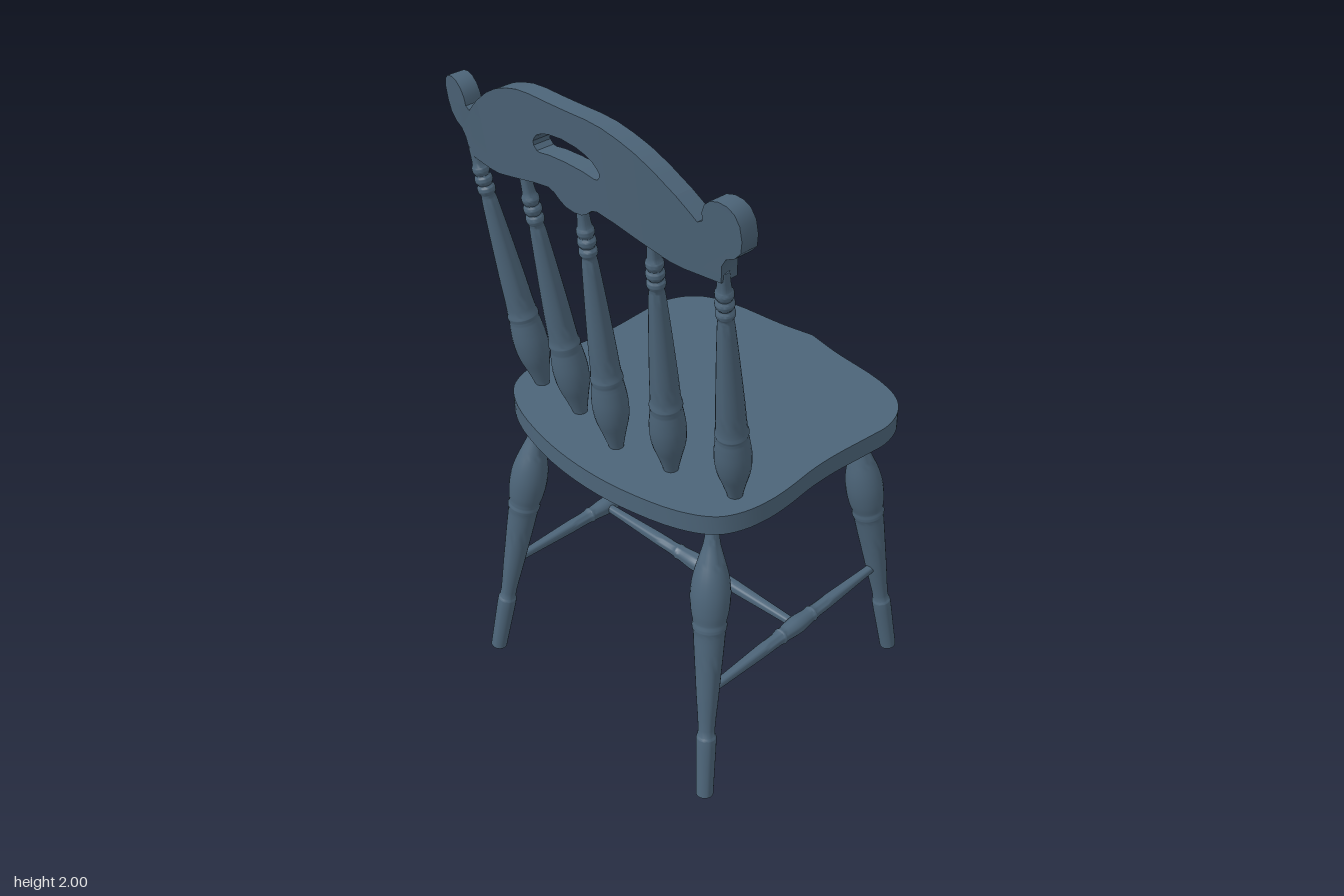
import * as THREE from 'three';
import { toCreasedNormals } from 'three/addons/utils/BufferGeometryUtils.js';

const V = (x, y, z) => new THREE.Vector3(x, y, z);
const paint = new THREE.MeshStandardMaterial({ color: 0x4c6478 });
paint.name = 'slate blue paint';

function part(name, geometry, parent) {
  const mesh = new THREE.Mesh(toCreasedNormals(geometry, 0.6), paint);
  mesh.name = name;
  parent.add(mesh);
  return mesh;
}

// Turned piece between two points; profile holds [fraction along axis, radius]
function turned(name, profile, a, b, parent) {
  const curve = new THREE.CatmullRomCurve3(profile.map(([t, r]) => V(r, t, 0)));
  const length = a.distanceTo(b);
  const points = curve.getPoints((profile.length - 1) * 4)
    .map(p => new THREE.Vector2(Math.max(p.x, 0.002), p.y * length));
  points.unshift(new THREE.Vector2(0, 0));
  points.push(new THREE.Vector2(0, length));
  const mesh = part(name, new THREE.LatheGeometry(points, 24), parent);
  mesh.position.copy(a);
  mesh.quaternion.setFromUnitVectors(V(0, 1, 0), b.clone().sub(a).normalize());
}

// Linear interpolation through [x, y] points, mirrored about x = 0
const through = points => x => {
  const ax = Math.abs(x);
  let i = 1;
  while (i < points.length - 1 && points[i][0] < ax) i++;
  const [x0, y0] = points[i - 1], [x1, y1] = points[i];
  return THREE.MathUtils.lerp(y0, y1, THREE.MathUtils.clamp((ax - x0) / (x1 - x0), 0, 1));
};

// Bows the crest rail in plan and leans it back; z is depth within the board
const railDepth = (x, y, z) => 0.37 + 0.13 * (y - 1.7) - 0.17 * x * x + z;

function bend(geometry) {
  const p = geometry.attributes.position;
  for (let i = 0; i < p.count; i++) p.setZ(i, railDepth(p.getX(i), p.getY(i), p.getZ(i)));
  geometry.computeVertexNormals();
  return geometry;
}

// Board section between two edge curves
function slab(name, x0, x1, steps, top, bottom, parent) {
  const g = new THREE.BoxGeometry(1, 1, 1, steps, 1, 1);
  const p = g.attributes.position;
  for (let i = 0; i < p.count; i++) {
    const x = THREE.MathUtils.lerp(x0, x1, p.getX(i) + 0.5);
    p.setXYZ(i, x, p.getY(i) > 0 ? top(x) : bottom(x), p.getZ(i) > 0 ? 0.052 : 0);
  }
  part(name, bend(g), parent);
}

export function createModel() {
  const chair = new THREE.Group();
  chair.name = 'chair';

  // Seat board with waisted sides and a slight point at the front edge
  const half = [[0, -0.49], [0.11, -0.469], [0.3, -0.447], [0.395, -0.412], [0.443, -0.36],
    [0.466, -0.287], [0.463, -0.215], [0.454, -0.09], [0.454, 0], [0.465, 0.115],
    [0.466, 0.187], [0.452, 0.27], [0.417, 0.335], [0.33, 0.39], [0.16, 0.435], [0, 0.448]];
  const outline = half.concat(half.slice(1, -1).reverse().map(([x, z]) => [-x, z]), [half[0]])
    .map(([x, z]) => V(x - 0.011, z, 0));
  const seatShape = new THREE.Shape(
    new THREE.CatmullRomCurve3(outline).getPoints(120).slice(0, -1)
      .map(p => new THREE.Vector2(p.x, p.y)));
  const seat = new THREE.ExtrudeGeometry(seatShape, { depth: 0.06, bevelEnabled: false });
  seat.rotateX(Math.PI / 2).translate(0, 0.955, 0);
  part('seat', seat, chair);

  // Splayed turned legs, foot to top
  const legProfile = [[0, 0.025], [0.1, 0.027], [0.215, 0.029], [0.228, 0.028], [0.234, 0.025],
    [0.4, 0.033], [0.56, 0.042], [0.63, 0.046], [0.645, 0.049], [0.66, 0.047], [0.7, 0.053],
    [0.76, 0.056], [0.82, 0.05], [0.88, 0.036], [0.93, 0.024], [0.97, 0.019], [1, 0.018]];
  const legs = {
    backRightLeg: [V(-0.451, 0.003, 0.46), V(-0.335, 0.88, 0.322)],
    backLeftLeg: [V(0.447, 0.003, 0.415), V(0.352, 0.88, 0.295)],
    frontLeftLeg: [V(0.417, 0.003, -0.435), V(0.337, 0.88, -0.297)],
    frontRightLeg: [V(-0.453, 0.003, -0.402), V(-0.353, 0.88, -0.285)],
  };
  for (const [name, [foot, top]] of Object.entries(legs)) turned(name, legProfile, foot, top, chair);

  // H-shaped stretchers
  const stretcherProfile = [[0, 0.013], [0.1, 0.015], [0.3, 0.02], [0.4, 0.022], [0.41, 0.025],
    [0.42, 0.023], [0.5, 0.028], [0.58, 0.023], [0.59, 0.025], [0.6, 0.022], [0.7, 0.02],
    [0.9, 0.015], [1, 0.013]];
  const at = name => legs[name][0].clone().lerp(legs[name][1], 0.395);
  const sides = ['Left', 'Right'].map(side => {
    const a = at('back' + side + 'Leg'), b = at('front' + side + 'Leg');
    turned('side' + side + 'Stretcher', stretcherProfile, a, b, chair);
    return a.lerp(b, 0.5);
  });
  turned('crossStretcher', stretcherProfile, sides[0], sides[1], chair);

  // Back spindles, from under the seat up into the crest rail
  const spindleProfile = [[0, 0.014], [0.05, 0.017], [0.09, 0.021], [0.15, 0.033], [0.21, 0.046],
    [0.27, 0.05], [0.33, 0.046], [0.36, 0.043], [0.373, 0.045], [0.386, 0.042], [0.5, 0.037],
    [0.65, 0.03], [0.8, 0.022], [0.83, 0.02], [0.84, 0.024], [0.855, 0.024], [0.865, 0.019],
    [0.875, 0.024], [0.89, 0.024], [0.9, 0.019], [0.91, 0.023], [0.925, 0.023], [0.935, 0.019],
    [1, 0.015]];
  const spindles = [[-0.38, 0.25, -0.46, 0.375], [-0.198, 0.265, -0.232, 0.388],
    [-0.006, 0.305, 0, 0.398], [0.167, 0.265, 0.242, 0.388], [0.365, 0.22, 0.457, 0.37]];
  spindles.forEach(([x0, z0, x1, z1], i) =>
    turned('spindle' + (i + 1), spindleProfile, V(x0, 0.88, z0), V(x1, 1.72, z1), chair));

  // Crest rail: bowed board with a hand slot
  const rail = new THREE.Group();
  rail.name = 'crestRail';
  chair.add(rail);
  const top = through([[0, 2], [0.1, 2], [0.15, 1.995], [0.2, 1.982], [0.25, 1.963],
    [0.3, 1.935], [0.36, 1.892]]);
  const bottom = through([[0, 1.713], [0.03, 1.717], [0.05, 1.728], [0.07, 1.744], [0.09, 1.75],
    [0.15, 1.74], [0.23, 1.72], [0.32, 1.698], [0.36, 1.695]]);
  const slotTop = through([[0, 1.915], [0.05, 1.91], [0.08, 1.901], [0.105, 1.888], [0.12, 1.868]]);
  const slotBottom = through([[0, 1.853], [0.06, 1.85], [0.1, 1.843], [0.112, 1.845], [0.12, 1.856]]);
  slab('railAboveSlot', -0.12, 0.12, 24, top, slotTop, rail);
  slab('railBelowSlot', -0.12, 0.12, 24, slotBottom, bottom, rail);
  slab('railRightSide', -0.36, -0.12, 16, top, bottom, rail);
  slab('railLeftSide', 0.12, 0.36, 16, top, bottom, rail);

  // Rounded ears at the ends of the rail
  const ear = [[0.36, 1.695], [0.465, 1.695], [0.472, 1.745], [0.485, 1.766], [0.51, 1.777],
    [0.528, 1.797], [0.534, 1.83], [0.532, 1.868], [0.521, 1.895], [0.503, 1.91], [0.48, 1.915],
    [0.457, 1.91], [0.44, 1.895], [0.431, 1.873], [0.43, 1.85], [0.415, 1.842], [0.4, 1.857],
    [0.36, 1.892]];
  for (const [side, s] of [['Left', 1], ['Right', -1]]) {
    const shape = new THREE.Shape(ear.map(([x, y]) => new THREE.Vector2(s * x, y)));
    const g = new THREE.ExtrudeGeometry(shape, { depth: 0.052, bevelEnabled: false });
    part('rail' + side + 'Ear', bend(g), rail);
  }
  return chair;
}
